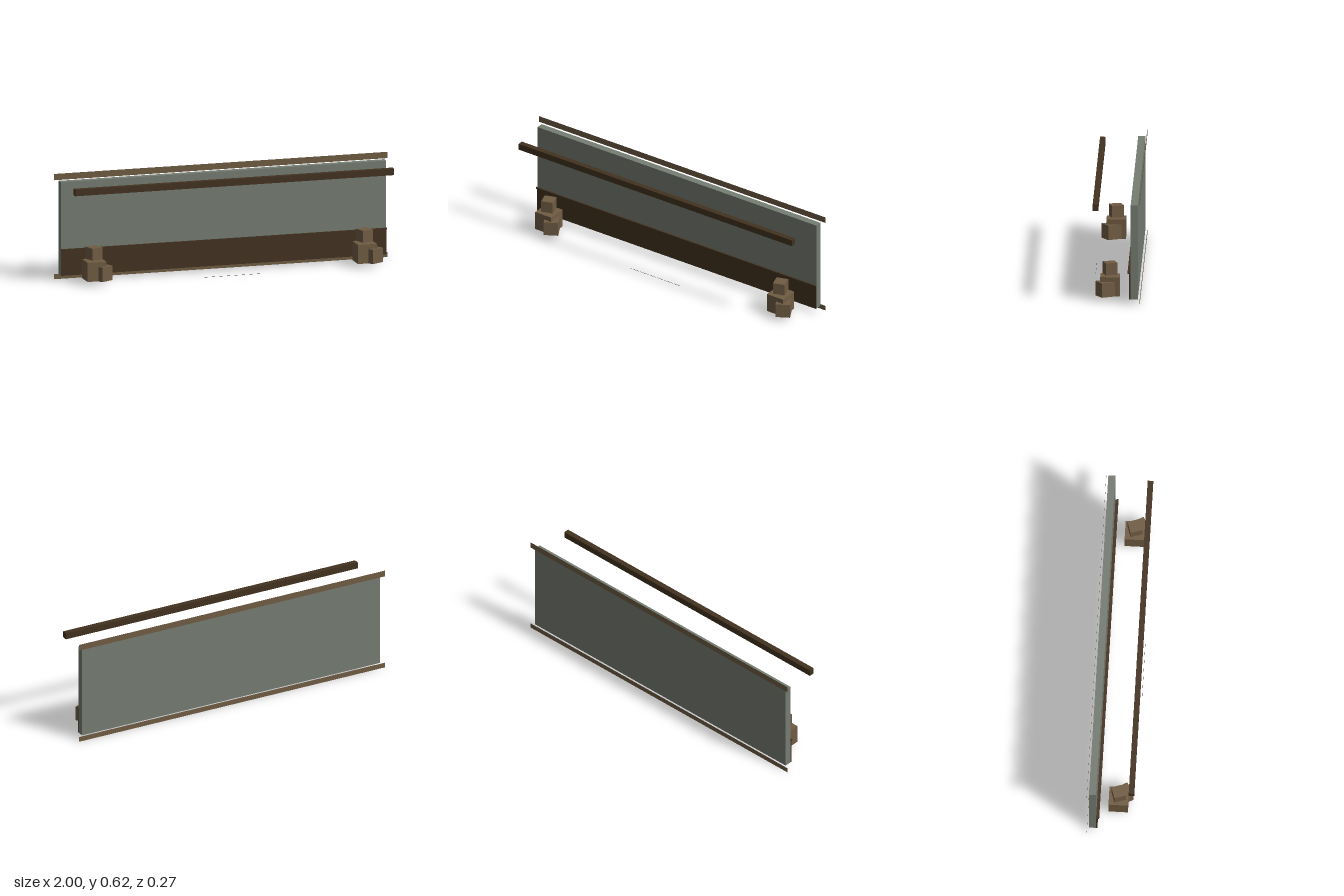
import * as THREE from 'three';

export function createModel() {
  const model = new THREE.Group();
  model.name = 'wallWithCrates';

  const wallGrey = new THREE.MeshStandardMaterial({ name: 'greenGrey', color: 0x767d73 });
  const darkWood = new THREE.MeshStandardMaterial({ name: 'darkWood', color: 0x433220 });
  const wood = new THREE.MeshStandardMaterial({ name: 'wood', color: 0x705c43 });
  const stripWood = wood.clone();
  stripWood.name = 'stripWood';
  stripWood.side = THREE.DoubleSide;

  // Box given by half width and its y and z ranges, centred on x
  function beam(name, material, halfX, y0, y1, z0, z1) {
    const mesh = new THREE.Mesh(new THREE.BoxGeometry(halfX * 2, y1 - y0, z1 - z0), material);
    mesh.position.set(0, (y0 + y1) / 2, (z0 + z1) / 2);
    mesh.name = name;
    model.add(mesh);
  }

  // Wall, wainscot with its cap rail, and the beam in front
  beam('wall', wallGrey, 0.975, 0.03, 0.578, -0.124, -0.083);
  beam('wainscot', darkWood, 0.975, 0.03, 0.178, -0.083, -0.075);
  beam('wainscotRail', darkWood, 0.975, 0.178, 0.187, -0.075, -0.065);
  beam('frontBeam', darkWood, 0.955, 0.54, 0.578, 0.103, 0.135);
  beam('groundLine', darkWood, 0.18, 0.014, 0.015, 0.134, 0.135);

  // Flat trim strips behind the wall
  for (const [name, y0, y1] of [['topStrip', 0.58, 0.617], ['bottomStrip', 0, 0.03]]) {
    const strip = new THREE.Mesh(new THREE.PlaneGeometry(2, y1 - y0), stripWood);
    strip.position.set(0, (y0 + y1) / 2, -0.135);
    strip.name = name;
    model.add(strip);
  }

  // Crate piles: size, x, bottom y, z, turn
  const crates = [
    ['largeCrate', 0.112, 0, 0.023, 0.038, 0],
    ['sideCrate', 0.084, 0.04, 0.023, 0.0655, 0.5],
    ['topCrate', 0.07, 0, 0.143, 0.038, 0.3],
  ];
  for (const [pileName, px] of [['rightPile', -0.812], ['leftPile', 0.808]]) {
    const pile = new THREE.Group();
    pile.name = pileName;
    pile.position.x = px;
    for (const [name, s, x, y, z, turn] of crates) {
      const crate = new THREE.Mesh(new THREE.BoxGeometry(s, s, s), wood);
      crate.position.set(x, y + s / 2, z);
      crate.rotation.y = turn;
      crate.name = name;
      pile.add(crate);
    }
    model.add(pile);
  }

  return model;
}
